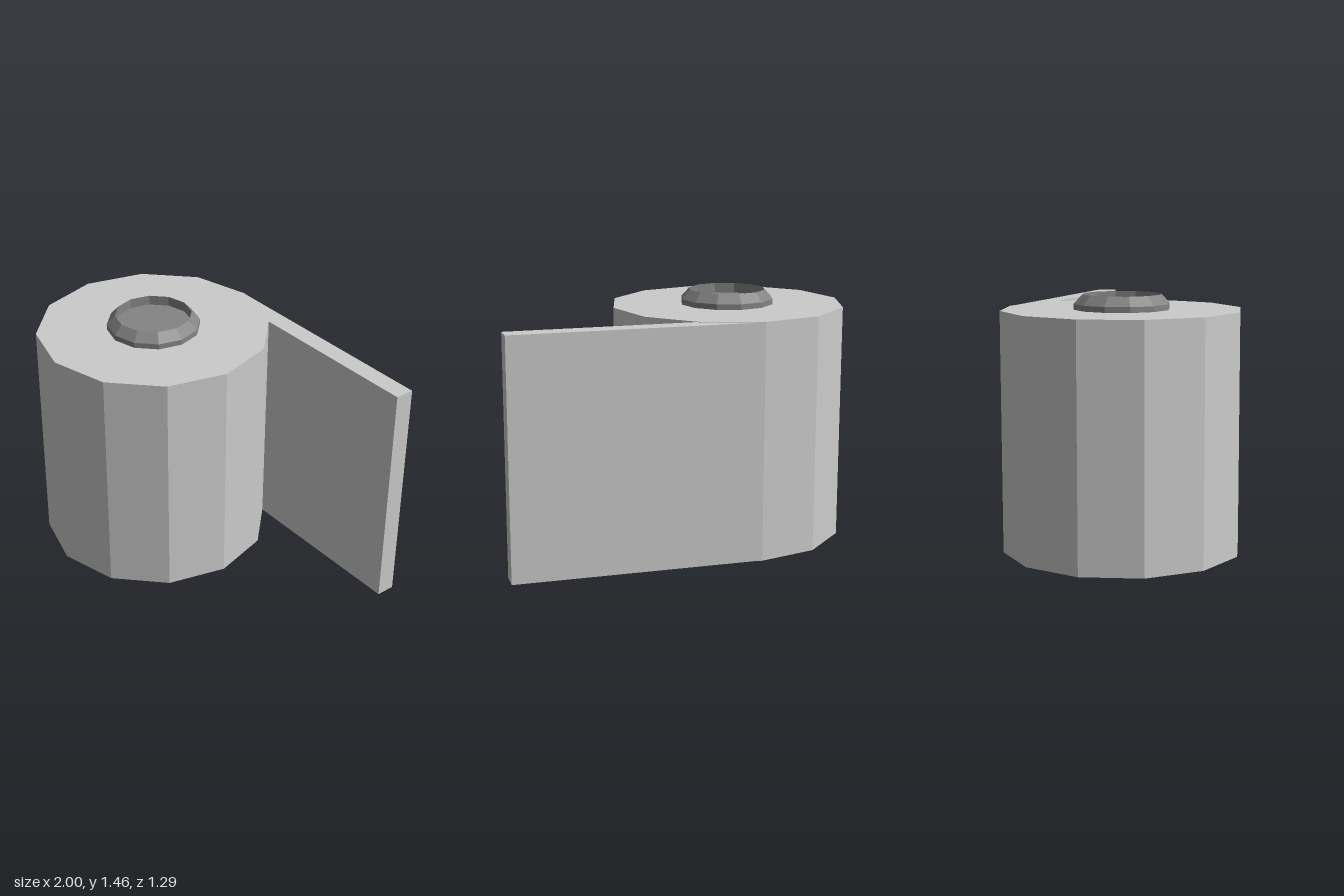
import * as THREE from 'three';

const SIDES = 12;
const ROLL_X = -0.353, ROLL_R = 0.647;
const BOTTOM = 0.08, TOP = 1.375, HEIGHT = 1.455;

function part(name, geometry, color, x, y, z) {
  const material = new THREE.MeshStandardMaterial({ color, flatShading: true });
  const mesh = new THREE.Mesh(geometry, material);
  mesh.name = name;
  mesh.position.set(x, y, z);
  return mesh;
}

export function createModel() {
  const model = new THREE.Group();
  model.name = 'paperRoll';
  const paper = 0xcccccc, dark = 0x848484;
  const midY = (BOTTOM + TOP) / 2;

  // Wound roll
  const roll = new THREE.CylinderGeometry(ROLL_R, ROLL_R, TOP - BOTTOM, SIDES);
  model.add(part('roll', roll, paper, ROLL_X, midY, 0));

  // Loose sheet leaving the back of the roll; a hair shorter so its edges stay clear of the roll's caps
  const thickness = 0.105;
  const sheet = new THREE.BoxGeometry(1 - ROLL_X, TOP - BOTTOM - 0.004, thickness);
  model.add(part('looseSheet', sheet, paper, (1 + ROLL_X) / 2, midY, -ROLL_R + thickness / 2));

  // Core with chamfered, recessed ends: lower half of the profile, mirrored for the upper half
  const lower = [[0, 0.055], [0.212, 0.055], [0.212, 0], [0.258, 0.05]];
  const upper = lower.map(([r, y]) => [r, HEIGHT - y]).reverse();
  const profile = [...lower, ...upper].map(([r, y]) => new THREE.Vector2(r, y));
  model.add(part('core', new THREE.LatheGeometry(profile, SIDES), dark, ROLL_X, 0, 0));

  return model;
}
